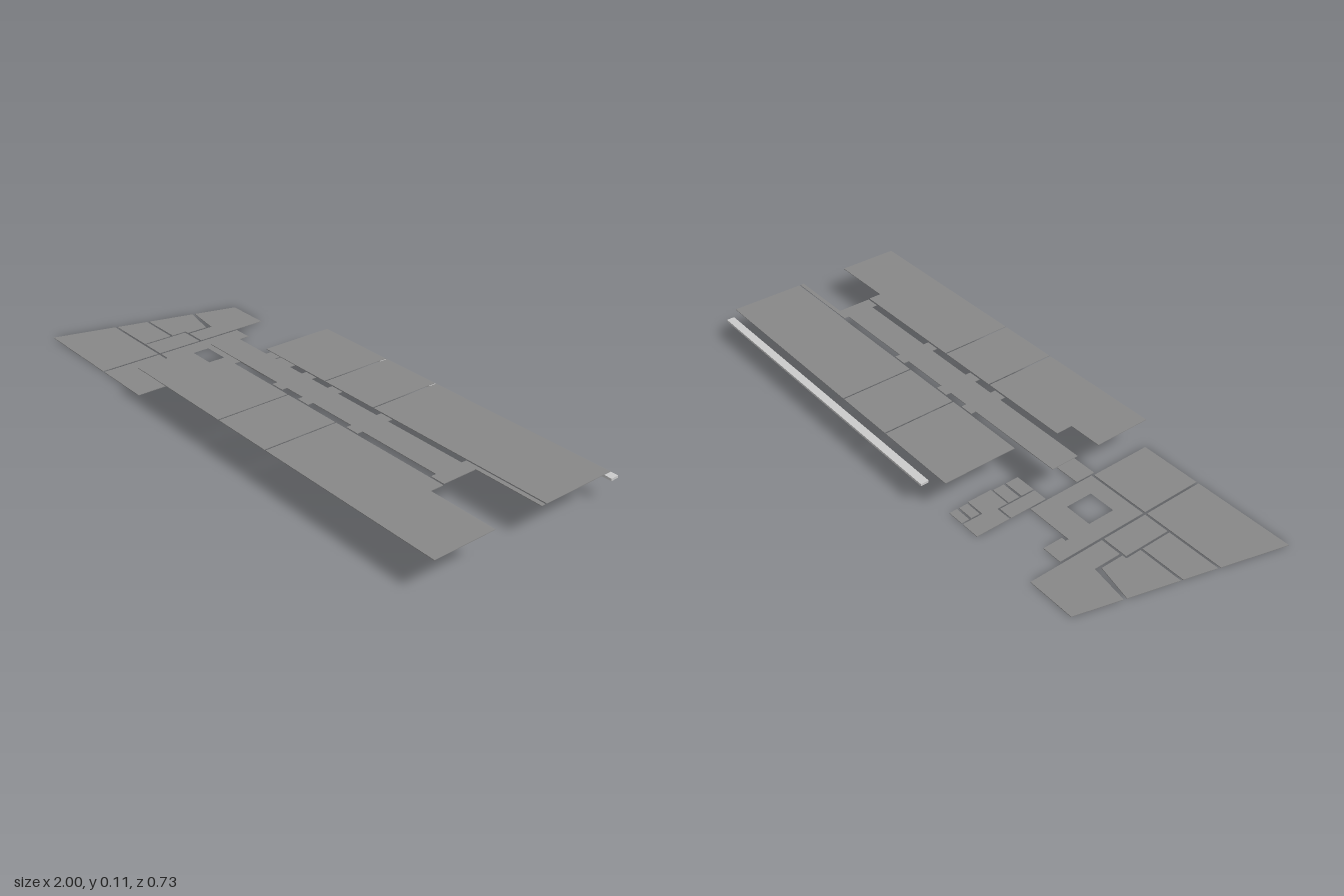
import * as THREE from 'three';

const THICK = 0.002;
const LOWER = 0, UPPER = 0.106;

// Corners of a rectangle in plan (x, z)
const rect = (x0, z0, x1, z1) => [[x0, z0], [x1, z0], [x1, z1], [x0, z1]];

const toPoints = (plan) => plan.map(([x, z]) => new THREE.Vector2(x, -z));

export function createModel() {
  const model = new THREE.Group();
  const floorMaterial = new THREE.MeshStandardMaterial({ color: 0x888888 });
  const barMaterial = new THREE.MeshStandardMaterial({ color: 0xcccccc });

  // Thin floor slab extruded from a plan outline
  function slab(parent, name, y, outline, hole) {
    const shape = new THREE.Shape(toPoints(outline));
    if (hole) shape.holes.push(new THREE.Path(toPoints(hole)));
    const geometry = new THREE.ExtrudeGeometry(shape, { depth: THICK, bevelEnabled: false });
    geometry.rotateX(-Math.PI / 2);
    const mesh = new THREE.Mesh(geometry, floorMaterial);
    mesh.name = name;
    mesh.position.y = y;
    parent.add(mesh);
  }

  const lower = new THREE.Group();
  lower.name = 'lowerFloor';
  const upper = new THREE.Group();
  upper.name = 'upperFloor';
  model.add(lower, upper);

  // Slanted wing at the right end
  slab(lower, 'wingBackRoom', LOWER, [[-0.813, -0.325], [-0.642, -0.325], [-0.642, -0.048],
    [-0.717, -0.048], [-0.717, -0.147], [-0.856, -0.167]]);
  slab(lower, 'wingUpperOffice', LOWER, [[-0.859, -0.157], [-0.727, -0.129], [-0.727, -0.046],
    [-0.743, -0.046], [-0.743, 0.011], [-0.904, 0.011]]);
  slab(lower, 'wingLowerOffice', LOWER, [[-0.906, 0.019], [-0.743, 0.019], [-0.743, 0.131], [-0.936, 0.131]]);
  slab(lower, 'wingLobby', LOWER, rect(-0.735, -0.04, -0.642, 0.131));
  slab(lower, 'wingFrontRoom', LOWER, [[-0.939, 0.139], [-0.642, 0.139], [-0.642, 0.365], [-1, 0.365]]);

  // Hall around an open shaft
  slab(lower, 'hall', LOWER, [[-0.633, -0.205], [-0.561, -0.205], [-0.561, -0.133], [-0.578, -0.133],
    [-0.578, -0.122], [-0.406, -0.122], [-0.406, 0.131], [-0.633, 0.131]],
  rect(-0.567, -0.029, -0.468, 0.07));
  slab(lower, 'hallFrontRoom', LOWER, rect(-0.633, 0.139, -0.409, 0.365));

  // Cluster of small service rooms
  slab(lower, 'serviceRoom', LOWER, [[-0.4, -0.325], [-0.332, -0.325], [-0.332, -0.25], [-0.262, -0.25],
    [-0.262, -0.16], [-0.342, -0.16], [-0.342, -0.2], [-0.4, -0.2]]);
  slab(lower, 'servicePassage', LOWER, rect(-0.4, -0.194, -0.348, -0.055));
  [[-0.326, -0.325, -0.296], [-0.326, -0.288, -0.256], [-0.342, -0.155, -0.112], [-0.342, -0.104, -0.055]]
    .forEach(([x, z0, z1], i) => slab(lower, `closet${i + 1}`, LOWER, rect(x, z0, -0.267, z1)));
  slab(lower, 'frontServiceRoom', LOWER, [[-0.4, 0.073], [-0.305, 0.073], [-0.305, 0.091],
    [-0.283, 0.091], [-0.283, 0.147], [-0.4, 0.147]]);

  // Rows of large rooms on the upper level
  [[-0.25, 0.059], [0.065, 0.294], [0.3, 1]]
    .forEach(([x0, x1], i) => slab(upper, `backRoom${i + 1}`, UPPER, rect(x0, -0.325, x1, -0.056)));
  slab(upper, 'frontRoom1', UPPER, [[-0.4, 0.157], [-0.276, 0.157], [-0.276, 0.096], [0.059, 0.096],
    [0.059, 0.365], [-0.4, 0.365]]);
  slab(upper, 'frontRoom2', UPPER, rect(0.065, 0.096, 0.294, 0.365));
  slab(upper, 'frontRoom3', UPPER, [[0.3, 0.096], [0.759, 0.096], [0.759, 0.144], [1, 0.144],
    [1, 0.365], [0.3, 0.365]]);

  // Corridor with door bays on both sides and a narrow run to the end
  const bays = [[-0.027, 0.023], [0.105, 0.155], [0.34, 0.39]];
  const back = bays.flatMap(([a, b]) => [[a, -0.032], [a, -0.051], [b, -0.051], [b, -0.032]]);
  const front = bays.flatMap(([a, b]) => [[a, 0.07], [a, 0.09], [b, 0.09], [b, 0.07]]).reverse();
  slab(upper, 'corridor', UPPER, [[-0.4, -0.032], ...back, [0.704, -0.032], [0.704, -0.051],
    [1, -0.051], [1, -0.036], [0.755, -0.036], [0.755, 0.09], [0.704, 0.09], [0.704, 0.07],
    ...front, [-0.4, 0.07]]);

  // Long bar behind the back rooms
  const bar = new THREE.Mesh(new THREE.BoxGeometry(1.18, 0.008, 0.029), barMaterial);
  bar.name = 'backBar';
  bar.position.set(0.41, 0.075, -0.3505);
  model.add(bar);

  return model;
}
